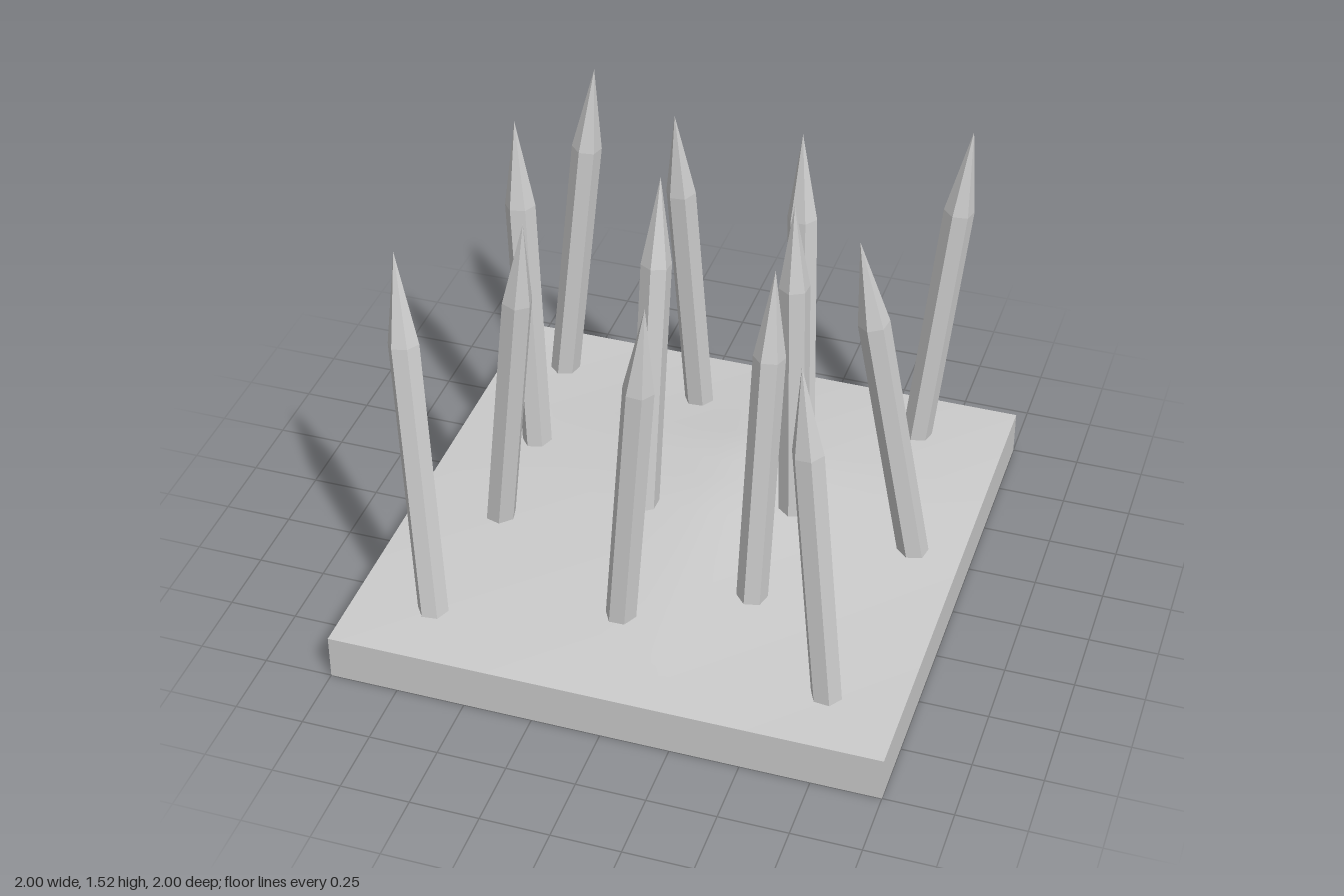
import * as THREE from 'three';

const EDGE = 0.17;   // height of the base walls
const TIP_Y = 1.52, FOOT_Y = 0.08, GROUND_Y = 0.2;
const RADIUS = 0.056;

// [x, z where the spike leaves the ground, x, z of its tip]
const SPIKES = [
  [-0.75, -0.76, -0.62, -0.80], [0.67, -0.76, 0.80, -0.80],
  [-0.18, -0.69, -0.24, -0.58], [0.28, -0.50, 0.23, -0.60],
  [-0.69, -0.27, -0.77, -0.37], [0.36, -0.13, 0.33, -0.15],
  [-0.17, 0.01, -0.16, -0.18], [0.82, -0.08, 0.60, 0.00],
  [-0.66, 0.19, -0.51, 0.24], [0.35, 0.36, 0.38, 0.25],
  [-0.71, 0.74, -0.86, 0.53], [-0.06, 0.59, 0.04, 0.59],
  [0.73, 0.75, 0.61, 0.74],
];

// Rises from 0 at both edges to 1 between a and b
const ramp = (v, a, b) => (v < a ? (v + 1) / (a + 1) : v > b ? (1 - v) / (1 - b) : 1);

// Gently mounded ground, level along its border
function makeGround(material) {
  const geometry = new THREE.PlaneGeometry(2, 2, 20, 20).rotateX(-Math.PI / 2);
  const p = geometry.attributes.position;
  for (let i = 0; i < p.count; i++) {
    const rise = ramp(p.getX(i), 0.05, 0.1) * ramp(p.getZ(i), -0.4, -0.1);
    p.setY(i, EDGE + 0.076 * rise);
  }
  geometry.computeVertexNormals();
  const ground = new THREE.Mesh(geometry, material);
  ground.name = 'ground';
  return ground;
}

// Six-sided stake with a pointed end, leaning from its foot to its tip
function makeSpike([bx, bz, tx, tz], material) {
  const k = (GROUND_Y - FOOT_Y) / (TIP_Y - GROUND_Y);
  const foot = new THREE.Vector3(bx - (tx - bx) * k, FOOT_Y, bz - (tz - bz) * k);
  const axis = new THREE.Vector3(tx, TIP_Y, tz).sub(foot);
  const length = axis.length();
  const profile = [[0, 0], [RADIUS, 0], [RADIUS, length * 0.77], [0, length]]
    .map(([r, y]) => new THREE.Vector2(r, y));
  const spike = new THREE.Mesh(new THREE.LatheGeometry(profile, 6), material);
  const tilt = Math.atan2(Math.hypot(axis.x, axis.z), axis.y);
  spike.rotation.set(tilt, Math.atan2(axis.x, axis.z), 0, 'YXZ');
  spike.position.copy(foot);
  spike.name = 'spike';
  return spike;
}

export function createModel() {
  const model = new THREE.Group();
  model.name = 'spikeTrap';
  const shell = new THREE.MeshStandardMaterial({ color: 0xcccccc, side: THREE.DoubleSide });
  const faceted = new THREE.MeshStandardMaterial({ color: 0xcccccc, flatShading: true });

  // Base: a mounded top on four walls, open underneath
  const base = new THREE.Group();
  base.name = 'base';
  base.add(makeGround(shell));
  for (let i = 0; i < 4; i++) {
    const wall = new THREE.Mesh(
      new THREE.PlaneGeometry(2, EDGE).translate(0, EDGE / 2, 1), shell);
    wall.rotation.y = (i * Math.PI) / 2;
    wall.name = 'wall';
    base.add(wall);
  }
  model.add(base);

  // Spikes pushed through the ground
  const spikes = new THREE.Group();
  spikes.name = 'spikes';
  for (const s of SPIKES) spikes.add(makeSpike(s, faceted));
  model.add(spikes);

  return model;
}
